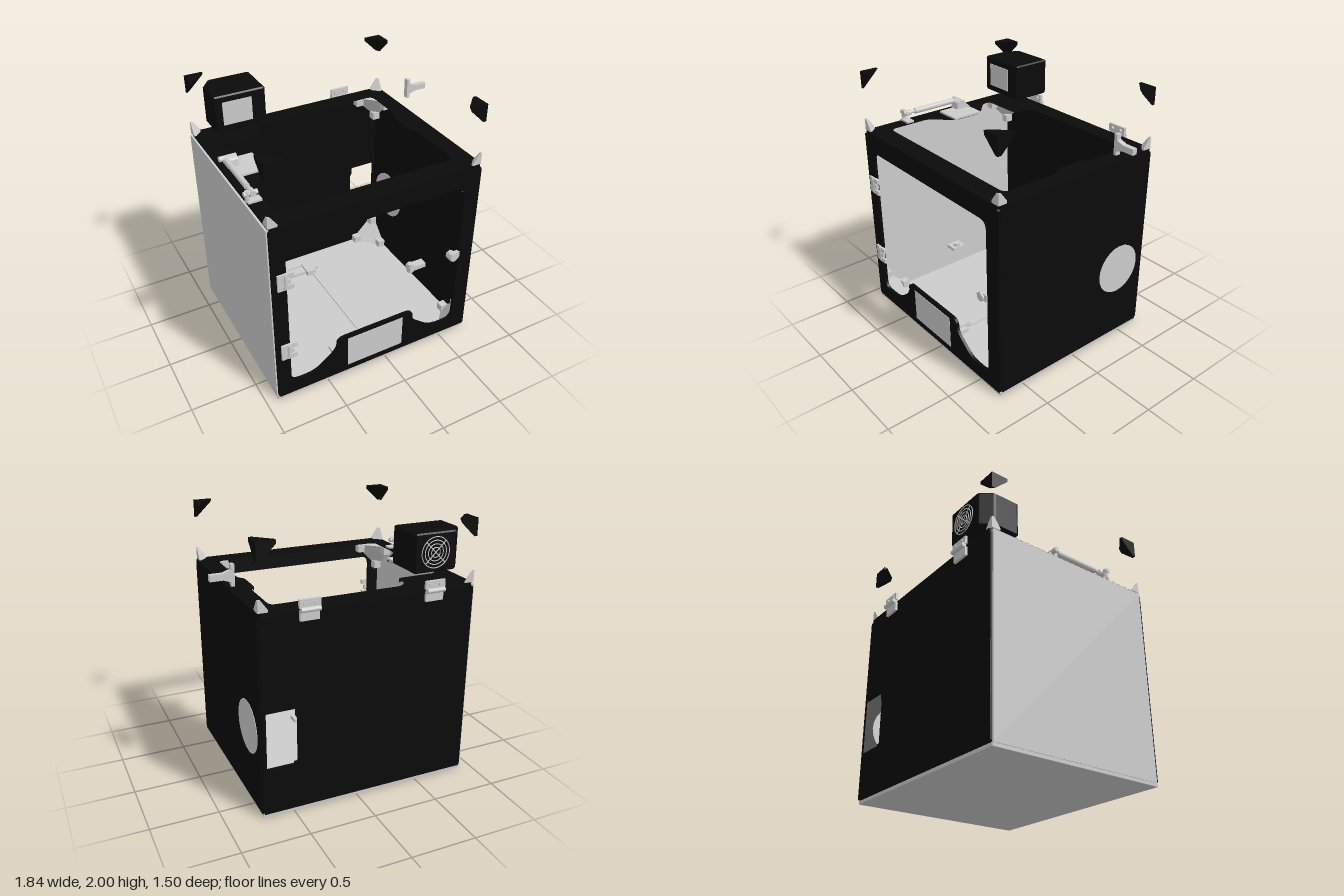
import * as THREE from 'three';
import { ConvexGeometry } from 'three/addons/geometries/ConvexGeometry.js';

const grey = new THREE.MeshStandardMaterial({ color: 0xcccccc });
const black = new THREE.MeshStandardMaterial({ color: 0x0a0a0a });

// Closed outline with every corner rounded by up to r
function outline(points, r, Type = THREE.Shape) {
  const path = new Type();
  const pts = points.map(([x, y]) => new THREE.Vector2(x, y));
  pts.forEach((p, i) => {
    const toward = (q) => {
      const d = q.clone().sub(p);
      return p.clone().add(d.setLength(Math.min(r, d.length() * 0.45)));
    };
    const a = toward(pts[(i + pts.length - 1) % pts.length]);
    const b = toward(pts[(i + 1) % pts.length]);
    if (i === 0) path.moveTo(a.x, a.y); else path.lineTo(a.x, a.y);
    path.quadraticCurveTo(p.x, p.y, b.x, b.y);
  });
  path.closePath();
  return path;
}
const rect = (x0, y0, x1, y1) => [[x0, y0], [x1, y0], [x1, y1], [x0, y1]];
const extrude = (shape, depth) =>
  new THREE.ExtrudeGeometry(shape, { depth, bevelEnabled: false, curveSegments: 5 });

export function createModel() {
  const model = new THREE.Group();

  const add = (name, geometry, material = grey, parent = model) => {
    const mesh = new THREE.Mesh(geometry, material);
    mesh.name = name;
    parent.add(mesh);
    return mesh;
  };
  const box = (name, x0, x1, y0, y1, z0, z1, material, parent) => {
    const mesh = add(name, new THREE.BoxGeometry(x1 - x0, y1 - y0, z1 - z0), material, parent);
    mesh.position.set((x0 + x1) / 2, (y0 + y1) / 2, (z0 + z1) / 2);
    return mesh;
  };
  // Cylinder between two points
  const rod = (name, a, b, r, sides = 16, material = grey, parent = model) => {
    const from = new THREE.Vector3(...a), to = new THREE.Vector3(...b);
    const dir = to.clone().sub(from);
    const mesh = add(name, new THREE.CylinderGeometry(r, r, dir.length(), sides), material, parent);
    mesh.position.copy(from).add(to).multiplyScalar(0.5);
    mesh.quaternion.setFromUnitVectors(new THREE.Vector3(0, 1, 0), dir.normalize());
    return mesh;
  };
  // Blunt three-armed corner wedge; dx, dy, dz are signed arm lengths
  const wedge = (name, x, y, z, dx, dy, dz, t, material) => {
    const X = Math.sign(dx) * t, Y = Math.sign(dy) * t, Z = Math.sign(dz) * t;
    const pts = [[0, 0, 0], [dx, 0, 0], [dx, Y, 0], [dx, 0, Z], [0, dy, 0], [X, dy, 0],
      [0, dy, Z], [0, 0, dz], [X, 0, dz], [0, Y, dz]].map((p) => new THREE.Vector3(...p));
    add(name, new ConvexGeometry(pts), material).position.set(x, y, z);
  };

  // Floor and side walls
  box('floor', -0.91, 0.73, 0, 0.025, -0.7, 0.71);
  box('rightSideWall', -0.915, -0.892, 0.025, 1.52, -0.695, 0.7);
  box('leftSideWall', 0.715, 0.738, 0.028, 1.51, -0.69, 0.695, black);
  rod('roundCover', [0.71, 0.61, -0.44], [0.741, 0.61, -0.44], 0.2, 24);

  // Back wall with its cable window
  const backShape = outline(rect(-0.9, 0.028, 0.73, 1.51), 0.015);
  backShape.holes.push(outline([[0.49, 0.4], [0.49, 0.385], [0.7, 0.385], [0.7, 0.82], [0.48, 0.82],
    [0.48, 0.76], [0.465, 0.74], [0.465, 0.4]], 0.01, THREE.Path));
  add('backWall', extrude(backShape, 0.023), black).position.z = -0.71;

  // Front door frame, its opening stepping around the display
  const doorShape = outline(rect(-0.905, 0.028, 0.735, 1.515), 0.02);
  doorShape.holes.push(outline([[-0.8, 0.14], [-0.6, 0.14], [-0.42, 0.28], [-0.42, 0.38], [0.23, 0.38],
    [0.23, 0.28], [0.41, 0.14], [0.61, 0.14], [0.61, 1.38], [-0.8, 1.38]], 0.07, THREE.Path));
  add('frontFrame', extrude(doorShape, 0.023), black).position.z = 0.697;
  box('display', -0.335, 0.14, 0.08, 0.35, 0.69, 0.722);

  // Lid frame, drawn as x and -z
  const lidShape = outline([[-0.88, 0.71], [0.71, 0.71], [0.74, 0.68], [0.74, -0.69], [0.71, -0.72],
    [-0.88, -0.72], [-0.9, -0.69], [-0.9, 0.68]], 0.01);
  lidShape.holes.push(outline([[-0.37, 0.57], [0.6, 0.57], [0.6, 0.2], [0.56, 0.18], [0.56, -0.06],
    [0.6, -0.09], [0.6, -0.56], [-0.78, -0.56], [-0.78, -0.22], [-0.62, -0.06], [-0.62, 0.18],
    [-0.78, 0.33], [-0.78, 0.4], [-0.45, 0.4], [-0.45, 0.51], [-0.4, 0.56]], 0.05, THREE.Path));
  const lid = add('lidFrame', extrude(lidShape, 0.03), black);
  lid.rotation.x = -Math.PI / 2;
  lid.position.y = 1.505;

  // Corners: raised covers, lid feet and inner three-way brackets
  for (const sx of [-1, 1]) for (const sz of [-1, 1]) {
    const x = sx < 0 ? -0.905 : 0.73, z = sz < 0 ? -0.7 : 0.71;
    wedge('cornerCover', x, 2, z, -sx * 0.135, -0.13, -sz * 0.135, 0.025, black);
    wedge('cornerFoot', x, 1.535, z, -sx * 0.07, 0.09, -sz * 0.07, 0.018, grey);
    const ix = sx < 0 ? -0.89 : 0.713, iz = sz < 0 ? -0.685 : 0.695;
    for (const [iy, up] of [[0.027, 1], [1.503, -1]]) {
      wedge('cornerBracket', ix, iy, iz, -sx * 0.18, up * 0.18, -sz * 0.18, 0.045, grey);
      [[1, 0, 0], [0, 1, 0], [0, 0, 1]].forEach(([a, b, c]) => {
        const end = add('bracketEnd', new THREE.BoxGeometry(0.06, 0.06, 0.06));
        end.position.set(ix - sx * (0.03 + a * 0.16), iy + up * (0.03 + b * 0.16), iz - sz * (0.03 + c * 0.16));
      });
    }
  }

  // Lid hinges on the back edge
  for (const x of [-0.565, 0.38]) {
    box('lidHingeUpperLeaf', x - 0.078, x + 0.078, 1.54, 1.6, -0.735, -0.715);
    box('lidHingeLowerLeaf', x - 0.07, x + 0.07, 1.45, 1.52, -0.73, -0.71);
    rod('lidHingePin', [x - 0.07, 1.53, -0.74], [x + 0.07, 1.53, -0.74], 0.018, 12);
    for (const s of [-0.04, 0.04])
      rod('lidHingeScrew', [x + s, 1.57, -0.745], [x + s, 1.57, -0.7], 0.014, 12);
  }

  // Door hinges
  for (const y of [1.095, 0.465]) {
    box('doorHingeLeaf', -0.87, -0.82, y - 0.066, y + 0.066, 0.715, 0.735);
    rod('doorHingePin', [-0.812, y - 0.06, 0.732], [-0.812, y + 0.06, 0.732], 0.014, 12);
    for (const s of [-0.048, 0, 0.048])
      box('doorHingeKnuckle', -0.83, s ? -0.752 : -0.775, y + s - 0.018, y + s + 0.018, 0.715, 0.738);
  }

  // Door latch
  box('latchPlate', 0.53, 0.615, 0.755, 0.81, 0.7, 0.73);
  rod('latchKnob', [0.557, 0.78, 0.68], [0.557, 0.78, 0.745], 0.036, 6);

  // Detached T handle
  box('handlePlate', 0.75, 0.775, 1.61, 1.765, -0.325, -0.285);
  box('handleGrip', 0.775, 0.922, 1.66, 1.705, -0.325, -0.285);
  const gusset = add('handleGusset', extrude(outline([[0.77, 1.64], [0.83, 1.66], [0.83, 1.705], [0.77, 1.725]], 0.005), 0.04));
  gusset.position.z = -0.325;

  // Gas strut and its mounting on the lid
  box('strutPlate', -0.84, -0.625, 1.535, 1.55, -0.185, 0.065);
  const arm = add('strutArm', extrude(outline([[0.185, 1.54], [0.06, 1.54], [0.07, 1.605], [0.11, 1.62], [0.185, 1.56]], 0.012), 0.08));
  arm.rotation.y = Math.PI / 2;
  arm.position.x = -0.855;
  rod('strutBody', [-0.858, 1.6, -0.08], [-0.858, 1.6, 0.29], 0.022);
  rod('strutRod', [-0.858, 1.6, 0.29], [-0.858, 1.6, 0.37], 0.012);
  rod('strutEnd', [-0.858, 1.6, 0.33], [-0.858, 1.6, 0.395], 0.022, 12);
  rod('strutPin', [-0.92, 1.6, 0.37], [-0.82, 1.6, 0.37], 0.018, 12);
  box('strutFoot', -0.9, -0.8, 1.535, 1.55, 0.34, 0.4);
  rod('strutPost', [-0.895, 1.54, 0.37], [-0.895, 1.62, 0.37], 0.018, 8);
  rod('strutTopPin', [-0.9, 1.6, -0.12], [-0.77, 1.6, -0.12], 0.02, 12);

  // Fan unit floating above the lid: plan drawn as x and -z
  const fanUnit = new THREE.Group();
  fanUnit.name = 'fanUnit';
  model.add(fanUnit);
  const housing = add('fanHousing', new THREE.ExtrudeGeometry(
    outline([[-0.797, 0.4], [-0.42, 0.4], [-0.42, 0.69], [-0.73, 0.69], [-0.797, 0.6]], 0.01),
    { depth: 0.26, bevelSize: 0.01, bevelThickness: 0.01, bevelSegments: 1 }), black, fanUnit);
  housing.rotation.x = -Math.PI / 2;
  housing.position.y = 1.66;
  box('fanUnitScreen', -0.745, -0.52, 1.7, 1.88, -0.4, -0.386, grey, fanUnit);
  const grille = new THREE.Group();
  grille.name = 'fanGrille';
  grille.position.set(-0.57, 1.79, -0.703);
  fanUnit.add(grille);
  for (const r of [0.035, 0.06, 0.085, 0.11])
    add('grilleRing', new THREE.TorusGeometry(r, 0.0035, 6, 32), grey, grille);
  for (const a of [Math.PI / 4, -Math.PI / 4])
    rod('grilleSpoke', [-0.11 * Math.cos(a), -0.11 * Math.sin(a), 0], [0.11 * Math.cos(a), 0.11 * Math.sin(a), 0], 0.004, 6, grey, grille);

  // Mechanism lying on the floor
  for (const s of [-1, 1]) {
    const span = (name, x0, x1, h, a, b) =>
      box(name, x0, x1, 0.025, h, Math.min(s * a, s * b), Math.max(s * a, s * b));
    span('floorTray', -0.36, -0.11, 0.05, 0.45, 0.55);
    span('floorTrayRim', -0.34, -0.11, 0.06, 0.53, 0.55);
    span('floorBracket', -0.11, -0.03, 0.07, 0.41, 0.55);
    span('floorClamp', -0.03, 0.015, 0.055, 0.46, 0.56);
  }
  box('floorRail', -0.06, -0.03, 0.025, 0.035, -0.41, 0.41);

  // Small clips on the inner side walls
  box('leftWallClip', 0.56, 0.715, 0.24, 0.28, 0.12, 0.19);
  rod('leftWallClipBoss', [0.585, 0.22, 0.155], [0.585, 0.3, 0.155], 0.03, 12);
  box('rightWallClip', -0.892, -0.79, 0.22, 0.245, -0.1, 0.02);
  rod('rightWallClipBoss', [-0.83, 0.22, -0.04], [-0.83, 0.27, -0.04], 0.03, 12);

  return model;
}
